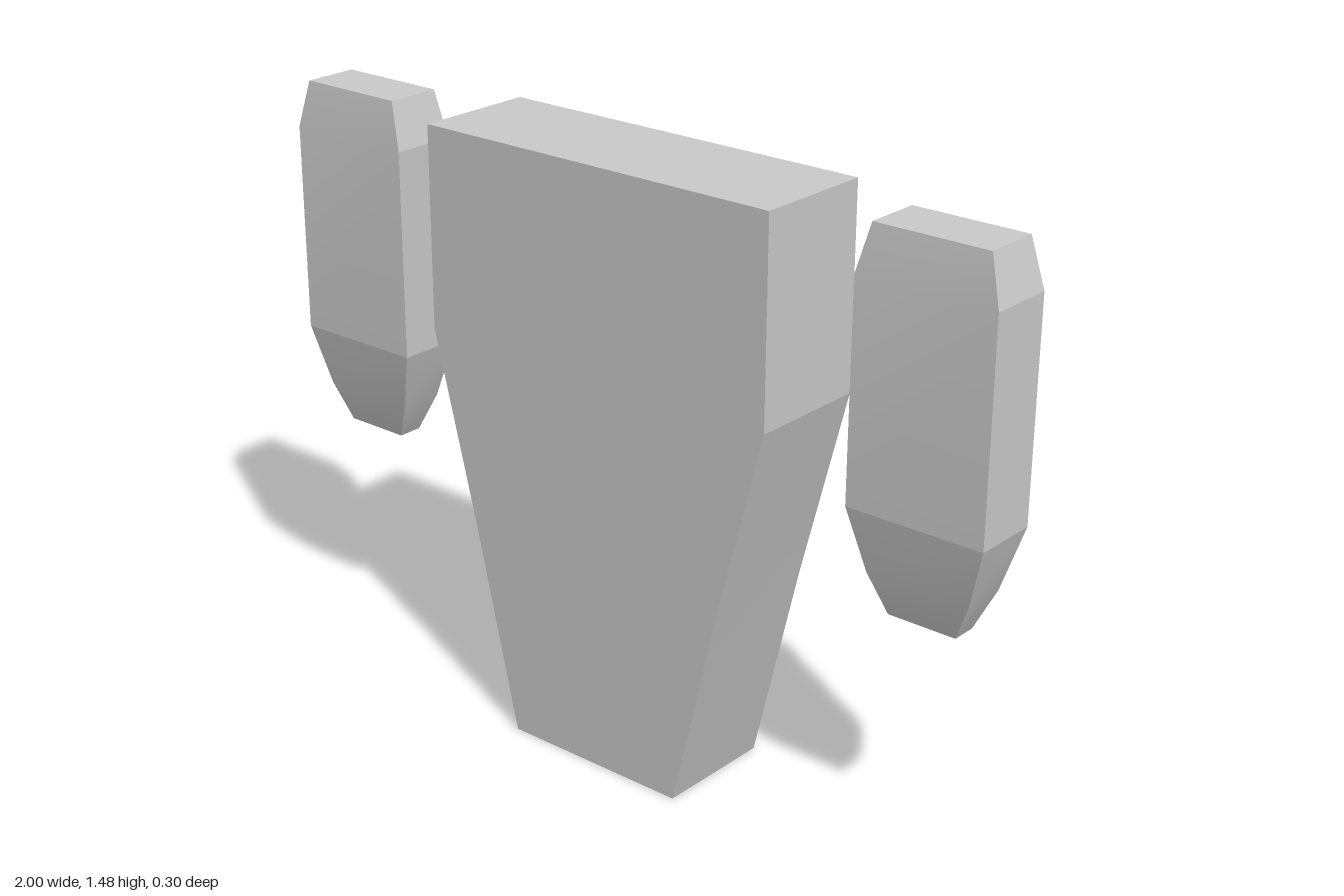
import * as THREE from 'three';
import { toCreasedNormals } from 'three/addons/utils/BufferGeometryUtils.js';

// Rectangular loft from bottom to top; each level is [y, half width, half depth]
function loft(levels) {
  const positions = [];
  const index = [];
  for (const [y, w, d] of levels) positions.push(-w, y, d, w, y, d, w, y, -d, -w, y, -d);
  for (let i = 0; i < levels.length - 1; i++) {
    for (let j = 0; j < 4; j++) {
      const a = i * 4 + j, b = i * 4 + (j + 1) % 4;
      index.push(a, b, b + 4, a, b + 4, a + 4);
    }
  }
  const t = (levels.length - 1) * 4;
  index.push(0, 2, 1, 0, 3, 2, t, t + 1, t + 2, t, t + 2, t + 3);
  const geometry = new THREE.BufferGeometry();
  geometry.setAttribute('position', new THREE.Float32BufferAttribute(positions, 3));
  geometry.setIndex(index);
  // Small crease angle: only the gently curved tapers are smoothed
  return toCreasedNormals(geometry, 0.15);
}

export function createModel() {
  const group = new THREE.Group();
  const material = new THREE.MeshStandardMaterial({ color: 0xcccccc });
  const add = (name, geometry, x) => {
    const mesh = new THREE.Mesh(geometry, material);
    mesh.name = name;
    mesh.position.x = x;
    group.add(mesh);
  };

  // Central slab, tapering towards its foot
  add('body', loft([
    [0, 0.246, 0.152],
    [0.51, 0.366, 0.152],
    [0.985, 0.488, 0.152],
    [1.475, 0.488, 0.152],
  ]), 0.003);

  // Side pods: curved tapered toe, straight middle, bevelled top
  const pod = loft([
    [0.6, 0.086, 0.031],
    [0.695, 0.129, 0.056],
    [0.845, 0.172, 0.082],
    [1.36, 0.172, 0.082],
    [1.475, 0.142, 0.069],
  ]);
  add('leftPod', pod, 0.828);
  add('rightPod', pod, -0.828);

  return group;
}
